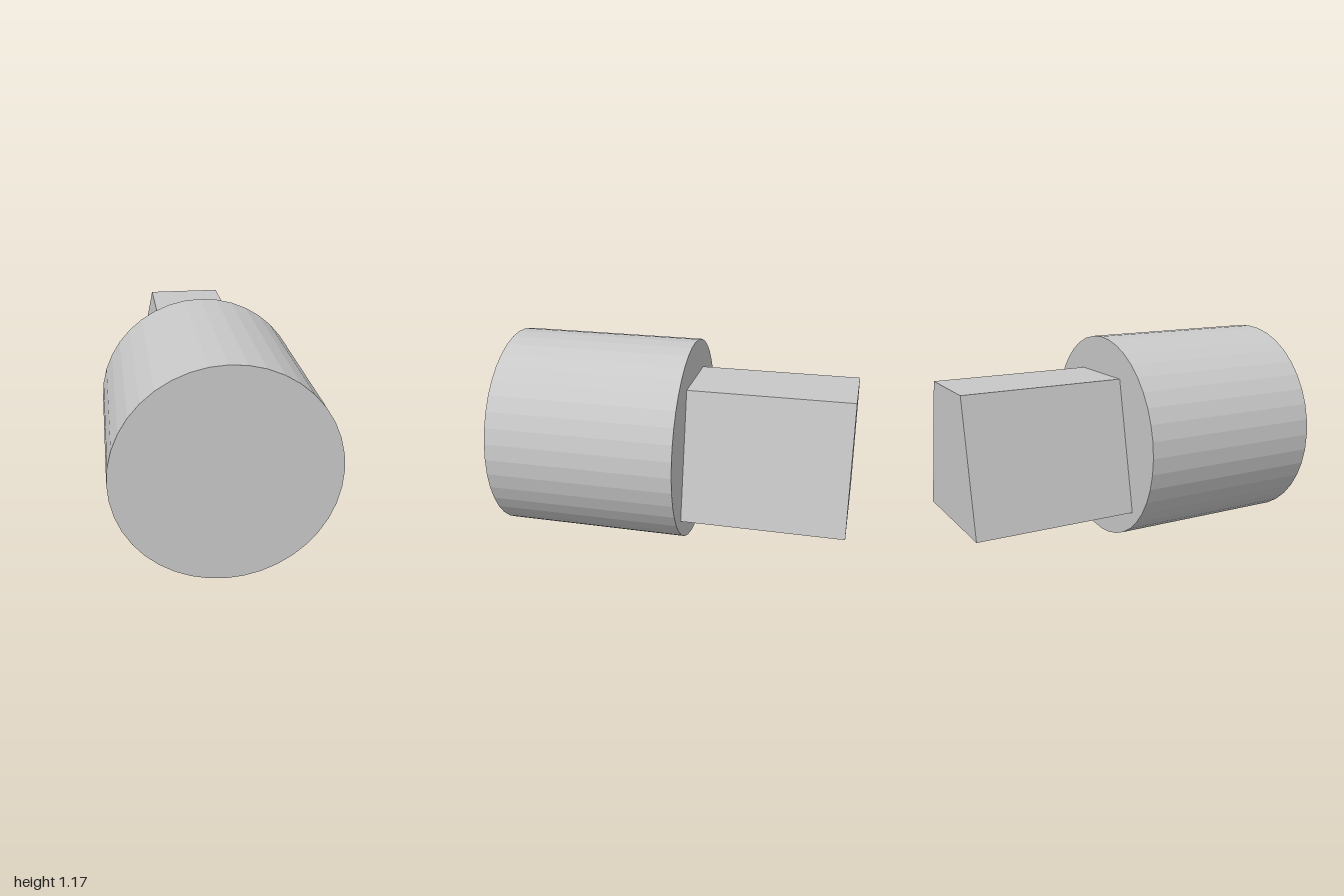
import * as THREE from 'three';

export function createModel() {
  const group = new THREE.Group();
  const grey = new THREE.MeshStandardMaterial({ color: 0xc8c8c8, flatShading: true });
  grey.name = 'light grey';

  const radius = 0.586;
  const shoulderZ = -0.073;

  // Faceted drum lying along z, at the front
  const drumLength = 1 - shoulderZ;
  const drumGeometry = new THREE.CylinderGeometry(radius, radius, drumLength, 40);
  drumGeometry.rotateX(Math.PI / 2);
  const drum = new THREE.Mesh(drumGeometry, grey);
  drum.name = 'drum';
  drum.position.set(0, radius, shoulderZ + drumLength / 2);
  group.add(drum);

  // Tapered block behind the drum, wider at the bottom
  const section = new THREE.Shape([
    new THREE.Vector2(-0.369, 0.216),
    new THREE.Vector2(0.369, 0.216),
    new THREE.Vector2(0.221, 0.96),
    new THREE.Vector2(-0.221, 0.96),
  ]);
  const blockGeometry = new THREE.ExtrudeGeometry(section, {
    depth: 1 + shoulderZ,
    bevelEnabled: false,
  });
  const block = new THREE.Mesh(blockGeometry, grey);
  block.name = 'rearBlock';
  block.position.z = -1;
  group.add(block);

  return group;
}
